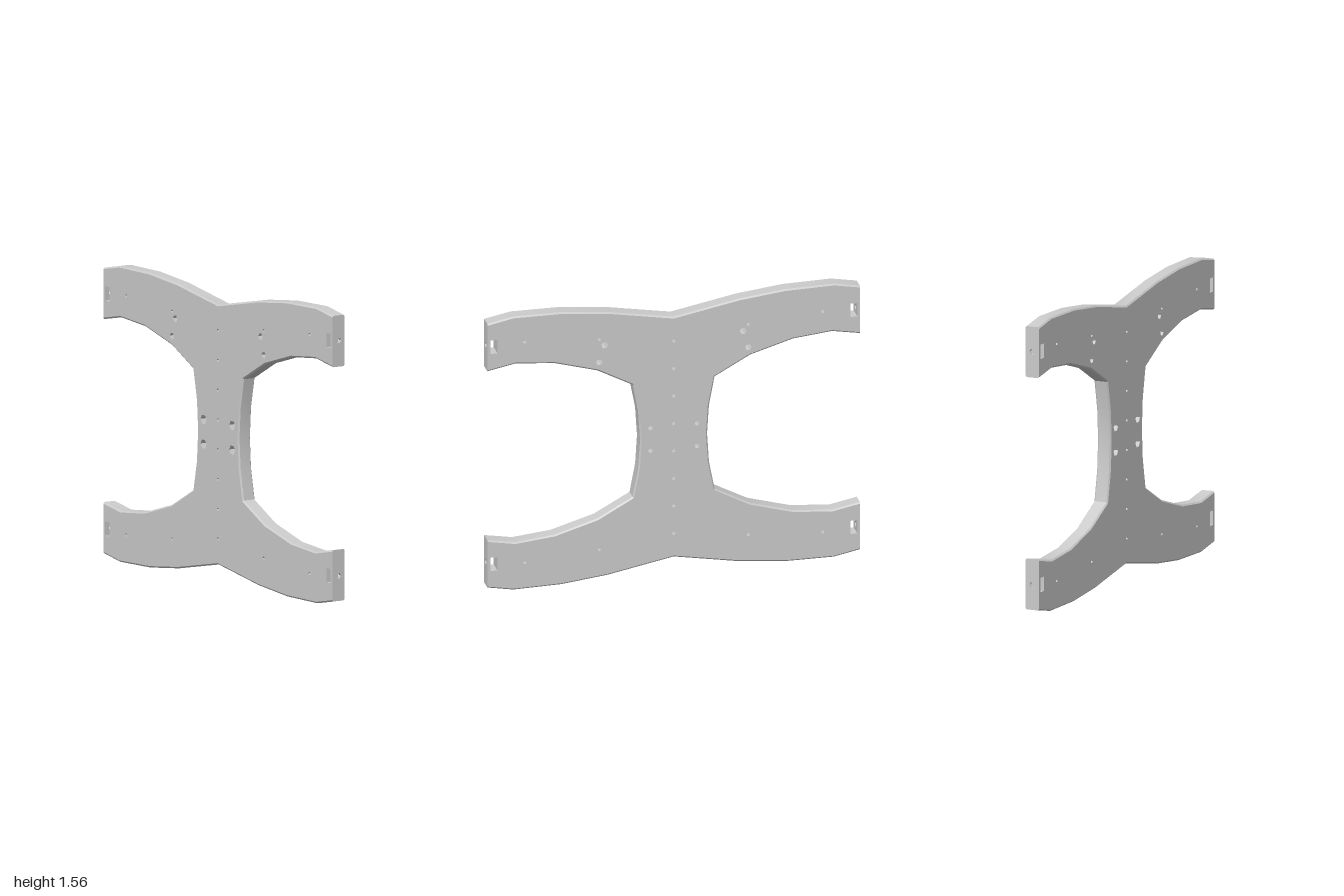
import * as THREE from 'three';
import { mergeGeometries, toCreasedNormals } from 'three/addons/utils/BufferGeometryUtils.js';

const HZ = 0.04;        // half thickness
const MID = 0.79;       // height of the horizontal symmetry line
const CHAMFER = 0.008;
const EDGE_Z = 0.033;   // where the chamfer starts

const V = (x, y) => new THREE.Vector2(x, y);

// Counter-clockwise polygon used for bores
const ring = (x, y, r, n = 6) => Array.from({ length: n }, (_, i) => {
  const a = (i / n) * Math.PI * 2;
  return V(x + r * Math.cos(a), y + r * Math.sin(a));
});
const reversed = (loop) => [...loop].reverse();

// Side wall between loop a at z0 and loop b at z1; faces outward for counter-clockwise loops
function wall(a, z0, b, z1, skip = () => false) {
  const p = [];
  a.forEach((a0, i) => {
    const j = (i + 1) % a.length, a1 = a[j], b0 = b[i], b1 = b[j];
    if (skip(a0, a1)) return;
    p.push(a0.x, a0.y, z0, a1.x, a1.y, z0, b1.x, b1.y, z1);
    p.push(a0.x, a0.y, z0, b1.x, b1.y, z1, b0.x, b0.y, z1);
  });
  return new THREE.BufferGeometry().setAttribute('position', new THREE.Float32BufferAttribute(p, 3));
}

// Flat face with holes, facing +z or, if flipped, -z
function cap(loop, holes, z, flip = false) {
  const shape = new THREE.Shape(loop);
  shape.holes = holes.map((h) => new THREE.Path(reversed(h)));
  const g = new THREE.ShapeGeometry(shape);
  if (flip) g.index.array.reverse();
  const out = g.toNonIndexed().translate(0, 0, z);
  out.deleteAttribute('uv');
  out.deleteAttribute('normal');
  return out;
}

// Full outline mirrored from one quarter
function makeOutline() {
  const quarter = [V(0.18, MID), V(0.19, 0.95), V(0.22, 1.11), V(0.41, 1.213), V(0.64, 1.28), V(0.85, 1.3),
    V(1, 1.272), V(1, 1.543), V(0.86, 1.57), V(0.6, 1.567), V(0.35, 1.54), V(0, 1.475)];
  const upper = [...quarter, ...reversed(quarter.slice(0, -1)).map((p) => V(-p.x, p.y))];
  const lower = reversed(upper.slice(1, -1)).map((p) => V(p.x, 2 * MID - p.y));
  return [...upper, ...lower];
}

// Move the outline inward for the chamfer, keeping the arm ends flush
function inset(loop, d) {
  return loop.map((p, i) => {
    const a = loop[(i + loop.length - 1) % loop.length], b = loop[(i + 1) % loop.length];
    if (Math.abs(p.x) === 1) {
      const end = Math.abs(a.x) === 1 ? a : b;
      return V(p.x, p.y + Math.sign(end.y - p.y) * d);
    }
    const t = b.clone().sub(a).normalize();
    return V(p.x - t.y * d, p.y + t.x * d);
  });
}

export function createModel() {
  const group = new THREE.Group();
  const material = new THREE.MeshStandardMaterial({ color: 0xcccccc });
  const add = (name, parts) => {
    const mesh = new THREE.Mesh(toCreasedNormals(mergeGeometries(parts), 0.4), material);
    mesh.name = name;
    group.add(mesh);
  };

  // Straight bores: centre row, arm holes and larger mounting holes
  const bores = [];
  for (let i = 0; i < 8; i++) bores.push(ring(0, 0.24 + i * 0.157, 0.009));
  for (const s of [-1, 1]) {
    for (const [x, y, r] of [[0.8, 1.42, 0.009], [0.8, 0.16, 0.009], [0.4, 0.19, 0.009],
      [0.4, 1.39, 0.009], [0.372, 1.355, 0.019], [0.4, 1.26, 0.018]]) {
      bores.push(ring(s * x, y, r));
    }
  }

  // Stepped bores at the waist and nut slots at the arm ends
  const wide = [], narrow = [], slots = [], ends = [];
  for (const s of [-1, 1]) {
    for (const y of [0.725, 0.855]) {
      wide.push(ring(s * 0.125, y, 0.026));
      narrow.push(ring(s * 0.125, y, 0.013));
    }
    for (const y of [0.17, 1.41]) {
      const c = s * 0.966, w = 0.019, h = 0.038;
      slots.push([V(c - w, y - h), V(c + w, y - h), V(c + w, y + h), V(c - w, y + h)]);
      ends.push({ s, y, h });
    }
  }

  // Plate: two faces, rim and chamfers
  const outline = makeOutline(), inner = inset(outline, CHAMFER);
  const isEnd = (a, b) => Math.abs(a.x) === 1 && a.x === b.x;
  add('plateFront', [cap(inner, [...bores, ...wide, ...slots], HZ)]);
  add('plateBack', [cap(inner, [...bores, ...narrow, ...slots], -HZ, true)]);
  add('plateRim', [
    wall(inner, -HZ, outline, -EDGE_Z, isEnd),
    wall(outline, -EDGE_Z, outline, EDGE_Z, isEnd),
    wall(outline, EDGE_Z, inner, HZ, isEnd),
  ]);

  // Bore walls
  add('boreWalls', bores.map((h) => wall(reversed(h), -HZ, reversed(h), HZ)));
  const step = 0.005;
  add('steppedBores', wide.flatMap((h, i) => [
    wall(reversed(h), step, reversed(h), HZ),
    cap(h, [narrow[i]], step),
    wall(reversed(narrow[i]), -HZ, reversed(narrow[i]), step),
  ]));

  // Slot walls; the outer one is left out here because the end bore passes through it
  const outer = (a, b) => a.x === b.x && Math.abs(a.x) > 0.966;
  add('slotWalls', slots.map((h) => wall(reversed(h), -HZ, reversed(h), HZ, outer)));

  // Arm end faces with a screw bore leading into the slot
  add('armEnds', ends.flatMap(({ s, y, h }) => {
    const [lo, hi] = y < MID ? [0.037, 0.308] : [1.272, 1.543];
    const face = [V(-EDGE_Z, lo), V(EDGE_Z, lo), V(HZ, lo + CHAMFER), V(HZ, hi - CHAMFER),
      V(EDGE_Z, hi), V(-EDGE_Z, hi), V(-HZ, hi - CHAMFER), V(-HZ, lo + CHAMFER)];
    const slotSide = [V(-HZ, y - h), V(HZ, y - h), V(HZ, y + h), V(-HZ, y + h)];
    const bore = ring(0, y, 0.016);
    return [
      cap(face, [bore], 0),
      wall(reversed(bore), -0.015, reversed(bore), 0),
      cap(slotSide, [bore], -0.015, true),
    ].map((g) => g.rotateY(s * Math.PI / 2).translate(s, 0, 0));
  }));

  return group;
}
